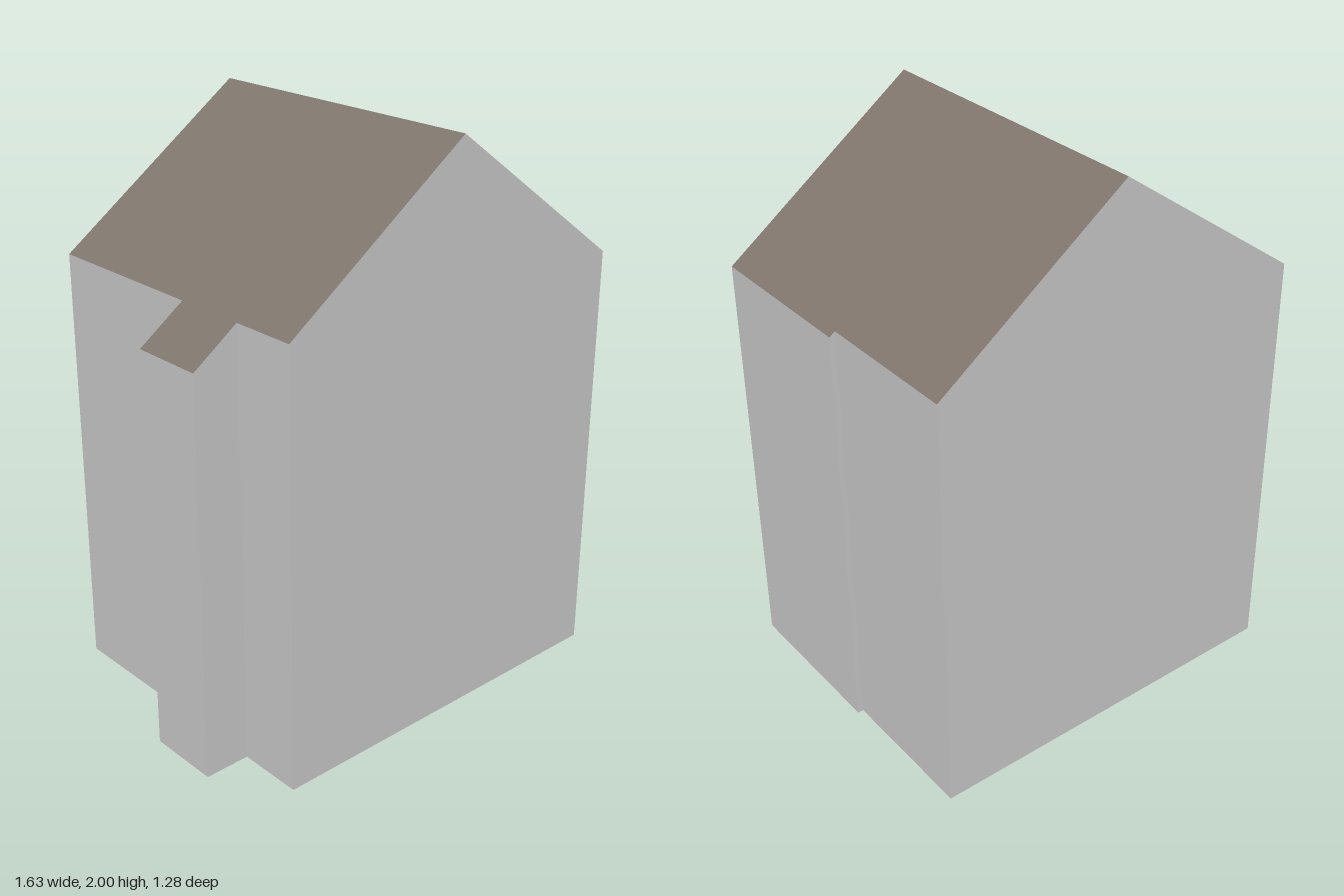
import * as THREE from 'three';

const WALL = new THREE.MeshStandardMaterial({ color: 0xcccccc });
WALL.name = 'light grey wall';
const ROOF = new THREE.MeshStandardMaterial({ color: 0x80766d });
ROOF.name = 'brown grey roof';

// Plan in the house's own axes: x across the ridge, z along it
const TURN = 0.132;
const RIDGE_X = 0.069, RIDGE_Y = 2;
const BACK = -0.566, FRONT = 0.544;

const ridgeBack = [RIDGE_X, BACK];
const ridgeFront = [RIDGE_X, FRONT];
// Left eave is set back on the main block, with a narrow bay standing out
const leftEave = [
  [-0.619, FRONT], [-0.619, 0.311], [-0.781, 0.311],
  [-0.781, 0.051], [-0.619, 0.051], [-0.619, BACK],
];
// Right eave has a small step
const rightEave = [[0.743, BACK], [0.743, -0.046], [0.763, -0.046], [0.763, FRONT]];

const roofY = (x) => RIDGE_Y - (x > RIDGE_X ? 0.728 : 0.707) * Math.abs(x - RIDGE_X);

function mesh(name, geometry, material) {
  const m = new THREE.Mesh(geometry, material);
  m.name = name;
  return m;
}

// Flat plan lifted onto the roof slope
function roofSlope(points) {
  const shape = new THREE.Shape(points.map(([x, z]) => new THREE.Vector2(x, -z)));
  const g = new THREE.ShapeGeometry(shape).rotateX(-Math.PI / 2);
  const p = g.attributes.position;
  for (let i = 0; i < p.count; i++) p.setY(i, roofY(p.getX(i)));
  g.computeVertexNormals();
  return g;
}

// One upright face per plan edge, cut off at the roof
function wallFaces(plan) {
  const v = [];
  plan.forEach(([ax, az], i) => {
    const [bx, bz] = plan[(i + 1) % plan.length];
    const a0 = [ax, 0, az], a1 = [ax, roofY(ax), az];
    const b0 = [bx, 0, bz], b1 = [bx, roofY(bx), bz];
    v.push(...a0, ...a1, ...b1, ...a0, ...b1, ...b0);
  });
  const g = new THREE.BufferGeometry();
  g.setAttribute('position', new THREE.Float32BufferAttribute(v, 3));
  g.computeVertexNormals();
  return g;
}

export function createModel() {
  const house = new THREE.Group();
  house.name = 'house';
  const plan = [ridgeBack, ...rightEave, ridgeFront, ...leftEave];

  house.add(mesh('walls', wallFaces(plan), WALL));
  house.add(mesh('rightRoof', roofSlope([ridgeBack, ...rightEave, ridgeFront]), ROOF));
  house.add(mesh('leftRoof', roofSlope([ridgeFront, ...leftEave, ridgeBack]), ROOF));

  // Underside
  const base = new THREE.Shape(plan.map(([x, z]) => new THREE.Vector2(x, z)));
  house.add(mesh('floor', new THREE.ShapeGeometry(base).rotateX(Math.PI / 2), WALL));

  house.rotation.y = -TURN;
  const model = new THREE.Group();
  model.name = 'gabledHouse';
  model.add(house);
  return model;
}
